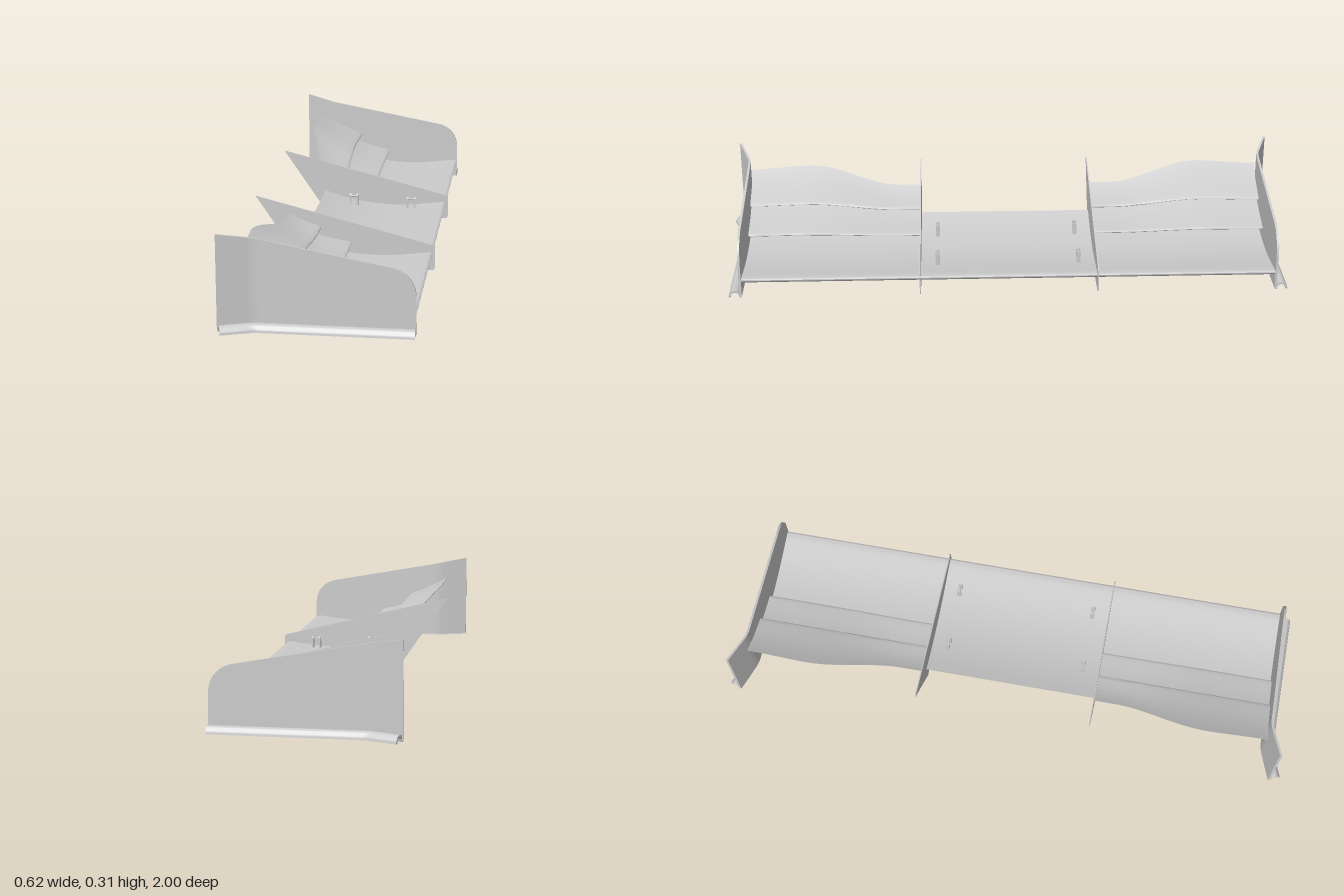
import * as THREE from 'three';
import { toCreasedNormals } from 'three/addons/utils/BufferGeometryUtils.js';

const material = new THREE.MeshStandardMaterial({ color: 0xcccccc, side: THREE.DoubleSide });

function add(parent, name, geometry) {
  const mesh = new THREE.Mesh(geometry, material);
  mesh.name = name;
  parent.add(mesh);
  return mesh;
}

// Solid skin through closed rings of [x, y, z] points, capped at both ends
function loft(rings) {
  const n = rings[0].length, last = (rings.length - 1) * n, index = [];
  for (let k = 0; k < rings.length - 1; k++) {
    for (let i = 0; i < n; i++) {
      const a = k * n + i, b = k * n + (i + 1) % n;
      index.push(a, b, b + n, a, b + n, a + n);
    }
  }
  // Caps: strips between opposite halves of the ring
  for (let i = 0; i < n / 2 - 1; i++) {
    const j = n - 1 - i;
    index.push(last + i, last + i + 1, last + j - 1, last + i, last + j - 1, last + j);
    index.push(i, j - 1, i + 1, i, j, j - 1);
  }
  const g = new THREE.BufferGeometry();
  g.setAttribute('position', new THREE.Float32BufferAttribute(rings.flat(2), 3));
  g.setIndex(index);
  return toCreasedNormals(g, 0.7);
}

// Cambered wing section from leading to trailing point at station z
function foil(z, [lx, ly], [tx, ty], sag, thick) {
  const top = [], bottom = [], steps = 24;
  for (let i = 0; i <= steps; i++) {
    const u = (i / steps) ** 1.6;
    const x = lx + (tx - lx) * u;
    const y = ly + (ty - ly) * u - 4 * sag * u * (1 - u);
    const half = 1.3 * thick * Math.sqrt(u) * (1 - u) + 0.0012;
    top.push([x, y + half, z]);
    bottom.unshift([x, y - half, z]);
  }
  return [...top, ...bottom];
}

function span(z0, z1, steps, section) {
  return loft(Array.from({ length: steps + 1 }, (_, i) => section(z0 + (z1 - z0) * i / steps)));
}

// Spanwise wave: 0 by the inner fin, 1 near 0.7, settling toward the end plate
function wave(z) {
  const a = Math.abs(z);
  return THREE.MathUtils.smoothstep(a, 0.38, 0.7) - 0.16 * THREE.MathUtils.smoothstep(a, 0.7, 0.92);
}

// Outward kick at the rear of the end plates
const SLOPE = 0.38;
function kick(x) {
  const d = -0.18 - x;
  if (d <= 0) return { z: 0, slope: 0 };
  return d < 0.04 ? { z: SLOPE * d * d / 0.08, slope: SLOPE * d / 0.04 }
    : { z: SLOPE * (d - 0.02), slope: SLOPE };
}

function plate(shape, depth, z) {
  return new THREE.ExtrudeGeometry(shape, { depth, bevelEnabled: false, curveSegments: 16 }).translate(0, 0, z);
}

function endPlate() {
  const g = new THREE.Group();
  g.name = 'endPlate';
  const topAt = x => 0.312 - (x + 0.31) * 0.184;

  // Flat front part with the rounded upper corner
  const s = new THREE.Shape();
  s.moveTo(-0.18, 0.004);
  s.lineTo(0.3, 0.004);
  s.lineTo(0.3, 0.115);
  s.bezierCurveTo(0.3, 0.17, 0.27, 0.205, 0.22, topAt(0.22));
  s.lineTo(-0.18, topAt(-0.18));
  s.closePath();
  add(g, 'endPlatePanel', plate(s, 0.008, 0.915));

  // Kicked-out rear part
  const box = new THREE.BoxGeometry(0.13, 1, 0.008, 16, 1, 1).translate(-0.245, 0, 0.919);
  const p = box.attributes.position;
  for (let i = 0; i < p.count; i++) {
    const x = p.getX(i);
    p.setY(i, p.getY(i) > 0 ? topAt(x) : 0.004);
    p.setZ(i, p.getZ(i) + kick(x).z);
  }
  box.computeVertexNormals();
  add(g, 'endPlateKick', box);

  // Arched gutter following the lower edge
  const xs = [-0.302, -0.25, -0.22, -0.21, -0.2, -0.19, -0.18, 0.3];
  add(g, 'footGutter', loft(xs.map(x => {
    const { z, slope } = kick(x), len = Math.hypot(1, slope), ring = [];
    const arc = (t, rz, ry) => {
      const w = -Math.cos(t) * rz;
      ring.push([x + w * slope / len, Math.sin(t) * ry, 0.939 + z + w / len]);
    };
    for (let i = 0; i <= 14; i++) arc(Math.PI * i / 14, 0.022, 0.025);
    for (let i = 14; i >= 0; i--) arc(Math.PI * i / 14, 0.015, 0.018);
    return ring;
  })));
  return g;
}

function innerFin(z) {
  const s = new THREE.Shape();
  s.moveTo(-0.14, 0.005);
  s.lineTo(0.298, 0.005);
  s.quadraticCurveTo(0.308, 0.005, 0.308, 0.017);
  s.lineTo(0.308, 0.08);
  s.quadraticCurveTo(0.308, 0.091, 0.297, 0.094);
  s.lineTo(-0.304, 0.245);
  s.closePath();
  return plate(s, 0.004, z - 0.002);
}

// Pair of round-topped lugs joined by a pin
function bracket(x, z) {
  const g = new THREE.Group();
  g.name = 'mountBracket';
  const s = new THREE.Shape();
  s.moveTo(-0.007, 0);
  s.lineTo(0.007, 0);
  s.lineTo(0.007, 0.035);
  s.absarc(0, 0.035, 0.007, 0, Math.PI);
  s.closePath();
  for (const dx of [-0.013, 0.013]) {
    add(g, 'lug', plate(s, 0.006, -0.003).rotateY(Math.PI / 2).translate(dx, 0, 0));
  }
  add(g, 'pin', new THREE.CylinderGeometry(0.003, 0.003, 0.03, 12).rotateZ(Math.PI / 2).translate(0, 0.033, 0));
  g.position.set(x, x > 0.1 ? 0.058 : 0.064, z);
  return g;
}

export function createModel() {
  const model = new THREE.Group();
  model.name = 'wing';

  add(model, 'mainPlane', span(-0.917, 0.917, 1, z => foil(z, [0.298, 0.062], [-0.15, 0.097], 0.044, 0.034)));

  for (const side of [-1, 1]) {
    const [z0, z1] = side < 0 ? [-0.917, -0.305] : [0.305, 0.917];
    add(model, 'lowerFlap', span(z0, z1, 30, z => {
      const w = wave(z);
      return foil(z, [0.025, 0.091 + 0.008 * w], [-0.165 - 0.02 * w, 0.148 + 0.03 * w], 0.014, 0.013);
    }));
    add(model, 'upperFlap', span(z0, z1, 30, z => {
      const w = wave(z);
      return foil(z, [-0.08 - 0.009 * w, 0.143 + 0.022 * w], [-0.19 - 0.058 * w, 0.19 + 0.056 * w], 0.009, 0.011);
    }));

    add(model, 'innerFin', innerFin(side * 0.305));
    for (const x of [-0.036, 0.176]) model.add(bracket(x, side * 0.245));

    const end = endPlate();
    end.scale.z = side;
    model.add(end);
  }
  return model;
}
